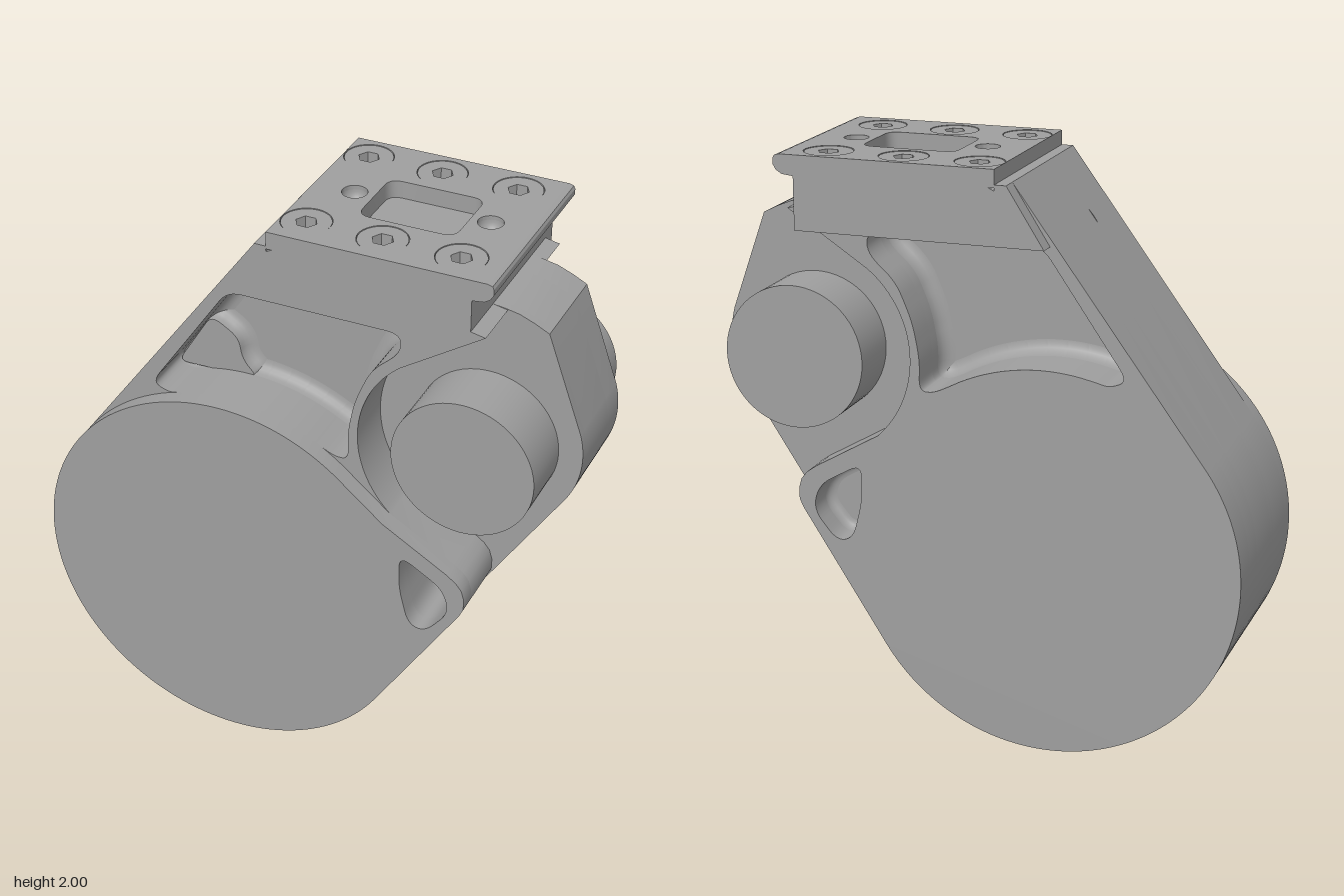
import * as THREE from 'three';
import { toCreasedNormals } from 'three/addons/utils/BufferGeometryUtils.js';

const material = new THREE.MeshStandardMaterial({ color: 0x9f9f9f });
const thin = new THREE.MeshStandardMaterial({ color: 0x9f9f9f, side: THREE.DoubleSide });
const V = (list) => list.map(([x, y]) => new THREE.Vector2(x, y));

function arc(cx, cy, r, a0, a1, n = 48) {
  return Array.from({ length: n + 1 }, (_, i) => {
    const a = a0 + ((a1 - a0) * i) / n;
    return new THREE.Vector2(cx + r * Math.cos(a), cy + r * Math.sin(a));
  });
}
const circle = (x, y, r, n = 40) => arc(x, y, r, 0, Math.PI * 2, n).slice(1);

// Closed polygon with every corner rounded
function rounded(pts, r, n = 6) {
  const out = [];
  pts.forEach((p, i) => {
    const toward = (q) => {
      const d = q.clone().sub(p);
      return p.clone().add(d.setLength(Math.min(r, d.length() * 0.48)));
    };
    const a = toward(pts[(i + pts.length - 1) % pts.length]);
    const b = toward(pts[(i + 1) % pts.length]);
    out.push(...new THREE.QuadraticBezierCurve(a, p, b).getPoints(n));
  });
  return out;
}

// Slab of an xy outline between two z values
function slab(name, pts, z0, z1, holes = []) {
  const shape = new THREE.Shape(pts);
  shape.holes = holes.map((h) => new THREE.Path(h));
  let geo = new THREE.ExtrudeGeometry(shape, { depth: z1 - z0, bevelEnabled: false });
  geo.translate(0, 0, z0);
  geo = toCreasedNormals(geo, 0.45);
  const mesh = new THREE.Mesh(geo, material);
  mesh.name = name;
  return mesh;
}

// Same, lying flat: outline in x and -z, between two heights
function flatSlab(name, pts, y0, y1, holes) {
  const mesh = slab(name, pts, y0, y1, holes);
  mesh.geometry.rotateX(-Math.PI / 2);
  return mesh;
}

// Concave fillet between wall and floor; dir is +1 or -1 in z.
// Negative r with opposite dir runs round the outside of a raised step.
function fillet(name, pts, floor, dir, r) {
  const steps = 5, n = pts.length, pos = [], index = [];
  const sign = THREE.ShapeUtils.isClockWise(pts) ? -1 : 1;
  for (let k = 0; k <= steps; k++) {
    const t = (k / steps) * Math.PI / 2;
    pts.forEach((p, i) => {
      const d = pts[(i + 1) % n].clone().sub(pts[(i + n - 1) % n]).normalize();
      const inset = r * (1 - Math.cos(t)) * sign;
      pos.push(p.x - d.y * inset, p.y + d.x * inset, floor + dir * r * (1 - Math.sin(t)));
      if (k < steps) {
        const a = k * n + i, b = k * n + (i + 1) % n;
        const quad = [a, b, a + n, b, b + n, a + n];
        index.push(...(sign * dir > 0 ? quad : quad.reverse()));
      }
    });
  }
  const geo = new THREE.BufferGeometry();
  geo.setAttribute('position', new THREE.Float32BufferAttribute(pos, 3));
  geo.setIndex(index);
  geo.computeVertexNormals();
  const mesh = new THREE.Mesh(geo, thin);
  mesh.name = name;
  return mesh;
}

export function createModel() {
  const model = new THREE.Group();
  model.name = 'driveHousing';
  const disc = [-0.25, 0.67, 0.67], shaft = [0.59, 1.33];

  // Outlines
  const base = arc(...disc, 2.513, 5.712, 72);
  const lobe = V([[0.61, 0.77], [0.624, 0.80], [0.625, 0.84], [0.615, 0.875], [0.595, 0.9], [0.56, 0.925]]);
  const head = V([[0.59, 1.82], [0.59, 1.94], [-0.08, 1.94], [-0.1, 1.93], [-0.1, 1.95], [-0.14, 1.95]]);
  const lugOutline = [
    ...base, ...arc(...shaft, 0.324, -0.56, 0.28, 16),
    ...V([[0.78, 1.76], [0.73, 1.785], [0.68, 1.805], [0.63, 1.815]]), ...head,
  ];
  const recess = arc(...shaft, 0.375, 3.96, 2.23, 32);
  const sideOutline = [...base, ...lobe, ...recess, ...V([[0.64, 1.81]]), ...head];
  const coverOutline = [...arc(...disc, 0.867, 2.513, 32), ...base.slice(1), ...lobe, recess[0]];
  const pocket = rounded([
    ...V([[-0.53, 1.33], [-0.24, 1.75], [0.36, 1.75], [0.36, 1.68], [0.26, 1.59], [0.205, 1.46], [0.18, 1.33], [0.185, 1.23], [0.14, 1.225]]),
    ...arc(...disc, 1.03, 1.84, 8), ...V([[-0.47, 1.305]]),
  ], 0.05);
  const slot = rounded(V([[0.395, 0.95], [0.55, 0.86], [0.575, 0.77], [0.49, 0.665], [0.43, 0.68], [0.395, 0.82]]), 0.05);

  // Housing: solid web, pocketed lug layers, then narrower sides
  model.add(
    slab('centreWeb', lugOutline, -0.08, 0.12),
    slab('lugFront', lugOutline, 0.12, 0.15, [pocket]),
    slab('lugBack', lugOutline, -0.18, -0.08, [pocket]),
    slab('housingFront', sideOutline, 0.15, 0.33, [pocket, slot]),
    slab('housingBack', sideOutline, -0.3, -0.18, [pocket, slot]),
    slab('roundCover', coverOutline, 0.33, 0.393, [slot]),
    fillet('frontPocketFillet', pocket, 0.12, 1, 0.045),
    fillet('backPocketFillet', pocket, -0.08, -1, 0.045),
    fillet('frontSlotFillet', slot, 0.15, 1, 0.03),
    fillet('backSlotFillet', slot, -0.18, -1, 0.03),
  );

  // Low raised steps in the front pocket, blended into its floor
  const lowStep = rounded(V([[-0.52, 1.32], [-0.39, 1.53], [-0.29, 1.47], [-0.28, 1.39], [-0.22, 1.33]]), 0.04);
  const highStep = rounded(V([[-0.27, 1.7], [-0.21, 1.7], [-0.13, 1.645], [-0.04, 1.76], [-0.22, 1.77]]), 0.04);
  for (const [name, pts] of [['lowerPocketStep', lowStep], ['upperPocketStep', highStep]]) {
    model.add(slab(name, pts, 0.11, 0.165), fillet(name + 'Fillet', pts, 0.12, -1, -0.045));
  }

  // Shaft through the lug
  const pin = new THREE.Mesh(new THREE.CylinderGeometry(0.243, 0.243, 0.757, 64), material);
  pin.name = 'shaft';
  pin.rotation.x = Math.PI / 2;
  pin.position.set(...shaft, -0.0125);
  model.add(pin);

  // Rear overhang of the head
  model.add(slab('headOverhang', [...V([[-0.267, 1.75], [0.59, 1.75]]), ...head.slice(1)], -0.36, -0.3));

  // Mounting plate with a window, two dowel holes and six screw seats
  const screws = [];
  for (const x of [-0.015, 0.245, 0.507]) for (const z of [-0.255, 0.215]) screws.push([x, -z]);
  const dowels = [0.042, 0.507];
  const plateHoles = [
    rounded(V([[0.11, -0.11], [0.44, -0.11], [0.44, 0.145], [0.11, 0.145]]), 0.045),
    ...dowels.map((x) => circle(x, 0.02, 0.042)),
    ...screws.map(([x, y]) => circle(x, y, 0.083)),
  ];
  model.add(
    flatSlab('mountingPlate', V([[-0.1, -0.33], [0.62, -0.33], [0.62, 0.36], [-0.1, 0.36]]), 1.94, 2, plateHoles),
    slab('plateLip', V([[0.59, 1.93], [0.63, 1.935], [0.65, 1.948], [0.66, 1.965], [0.66, 1.985], [0.655, 1.995], [0.64, 2], [0.62, 2], [0.62, 1.94], [0.59, 1.94]]), -0.36, 0.33),
  );
  for (const [x, y] of screws) {
    model.add(flatSlab('screw', circle(x, y, 0.081), 1.94, 1.998, [circle(x, y, 0.036, 6)]));
  }

  // Rounded bottoms of the dowel holes
  const bowl = new THREE.LatheGeometry(arc(0, 1.986, 0.042, -Math.PI / 2, 0, 8), 32);
  for (const x of dowels) {
    const seat = new THREE.Mesh(bowl, thin);
    seat.name = 'dowelSeat';
    seat.position.set(x, 0, -0.02);
    model.add(seat);
  }
  return model;
}
